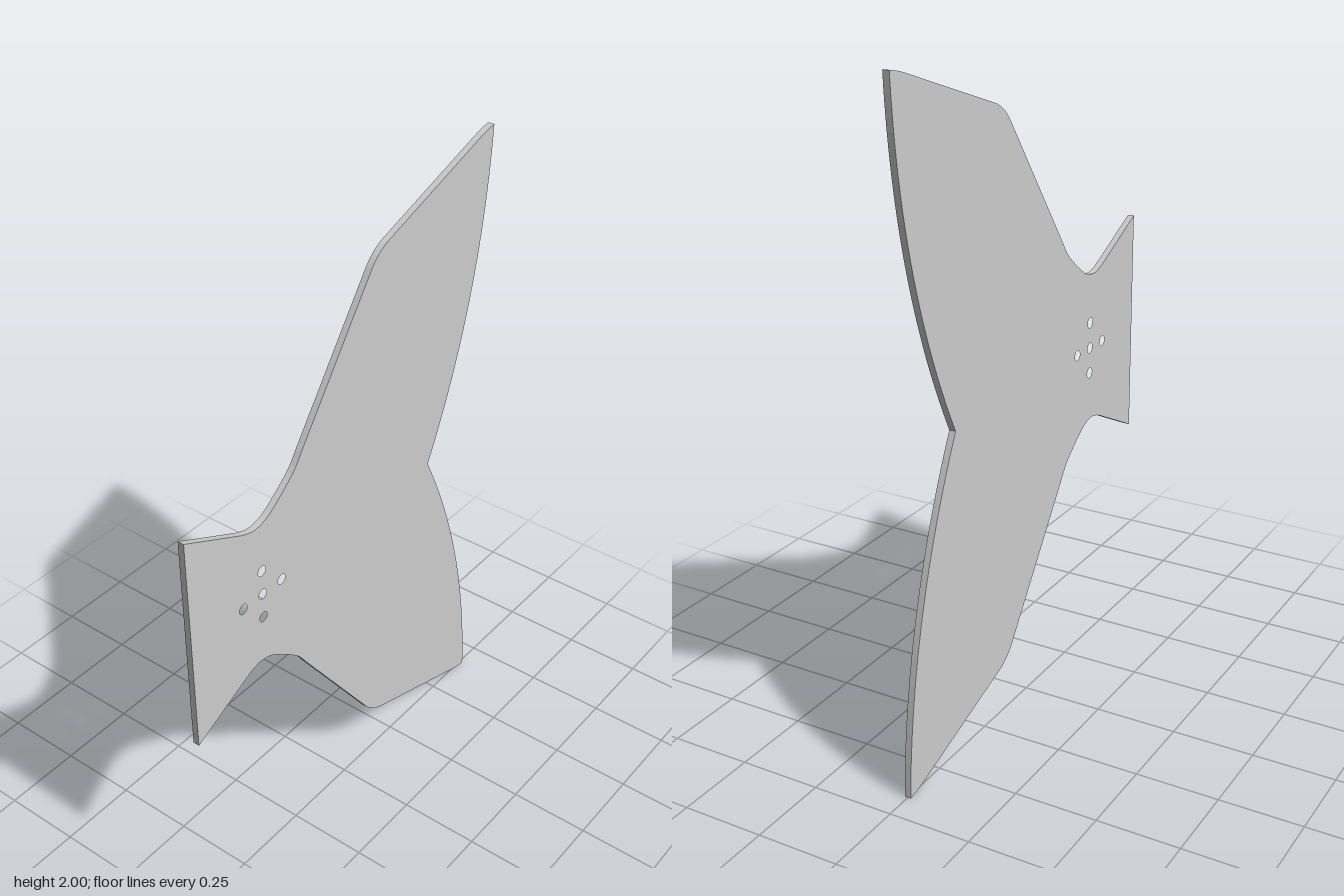
import * as THREE from 'three';

const THICKNESS = 0.02;
const MID = 1; // height of the symmetry line

// Upper half of the outline, heights measured from the symmetry line
function upperOutline() {
  const v = (x, y) => new THREE.Vector2(x, y);
  const neck = new THREE.SplineCurve([
    v(-0.455, 0.249), v(-0.425, 0.238), v(-0.39, 0.234), v(-0.335, 0.252), v(-0.24, 0.324), v(-0.2, 0.375),
  ]);
  const shoulder = new THREE.QuadraticBezierCurve(v(0.105, 0.791), v(0.14, 0.834), v(0.19, 0.848));
  const tip = new THREE.QuadraticBezierCurve(v(0.59, 0.982), v(0.63, 0.996), v(0.663, 1));
  const trailing = new THREE.QuadraticBezierCurve(v(0.663, 1), v(0.64, 0.47), v(0.4, 0));
  return [
    v(-0.667, 0.352),
    ...neck.getPoints(20),
    ...shoulder.getPoints(8),
    ...tip.getPoints(5),
    ...trailing.getPoints(28).slice(1),
  ];
}

export function createModel() {
  const group = new THREE.Group();
  group.name = 'tailFin';

  // Mirror the upper half to close the outline
  const upper = upperOutline();
  const lower = upper.slice(0, -1).reverse().map((p) => new THREE.Vector2(p.x, -p.y));
  const shape = new THREE.Shape([...upper, ...lower]);

  // Cross of five mounting holes
  for (const [dx, dy] of [[0, 0], [1, 0], [-1, 0], [0, 1], [0, -1]]) {
    const hole = new THREE.Path();
    hole.absarc(-0.378 + dx * 0.081, dy * 0.081, 0.016, 0, Math.PI * 2, true);
    shape.holes.push(hole);
  }

  // Flat plate
  const geometry = new THREE.ExtrudeGeometry(shape, {
    depth: THICKNESS, bevelEnabled: false, curveSegments: 12,
  });
  geometry.translate(0, MID, -THICKNESS / 2);
  const plate = new THREE.Mesh(geometry, new THREE.MeshStandardMaterial({ color: 0xcccccc }));
  plate.name = 'finPlate';
  group.add(plate);
  return group;
}
